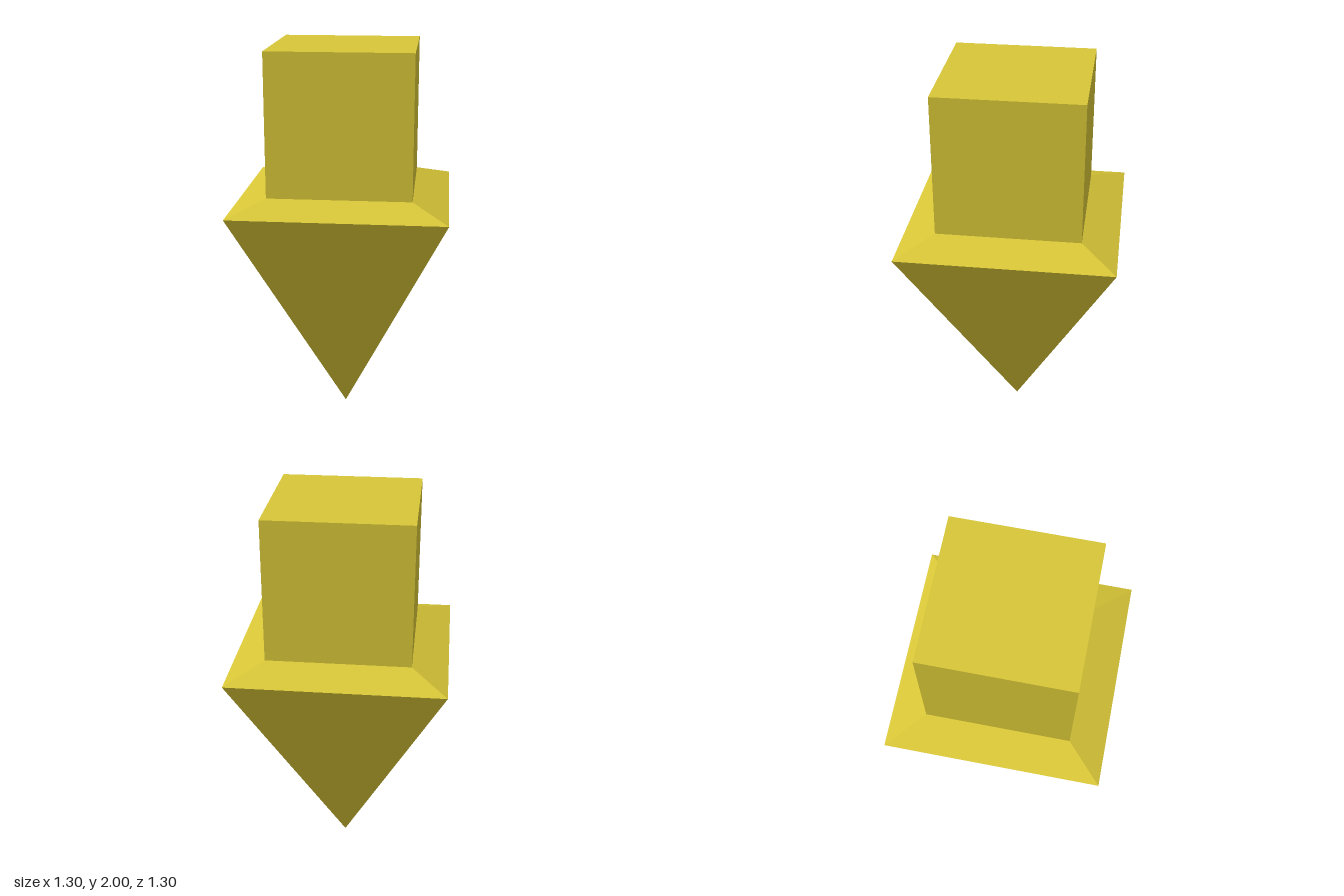
import * as THREE from 'three';

export function createModel() {
  const model = new THREE.Group();
  model.name = 'downArrow';
  const yellow = new THREE.MeshStandardMaterial({ color: 0xd8c637, flatShading: true });
  yellow.name = 'yellow';

  const turn = THREE.MathUtils.degToRad(32.25);
  const tipRadius = 0.77, shaftRadius = 0.515;
  const shoulderY = 1.21, shaftY = 1.275, topY = 2;

  // Four-sided section between two heights, turned about the vertical axis
  function section(name, bottomRadius, topRadius, y0, y1, open) {
    const geometry = new THREE.CylinderGeometry(topRadius, bottomRadius, y1 - y0, 4, 1, open, turn);
    const mesh = new THREE.Mesh(geometry, yellow);
    mesh.name = name;
    mesh.position.y = (y0 + y1) / 2;
    model.add(mesh);
  }

  section('arrowTip', 0, tipRadius, 0, shoulderY, true);
  section('arrowShoulder', tipRadius, shaftRadius, shoulderY, shaftY, true);
  section('arrowShaft', shaftRadius, shaftRadius, shaftY, topY, false);

  return model;
}
